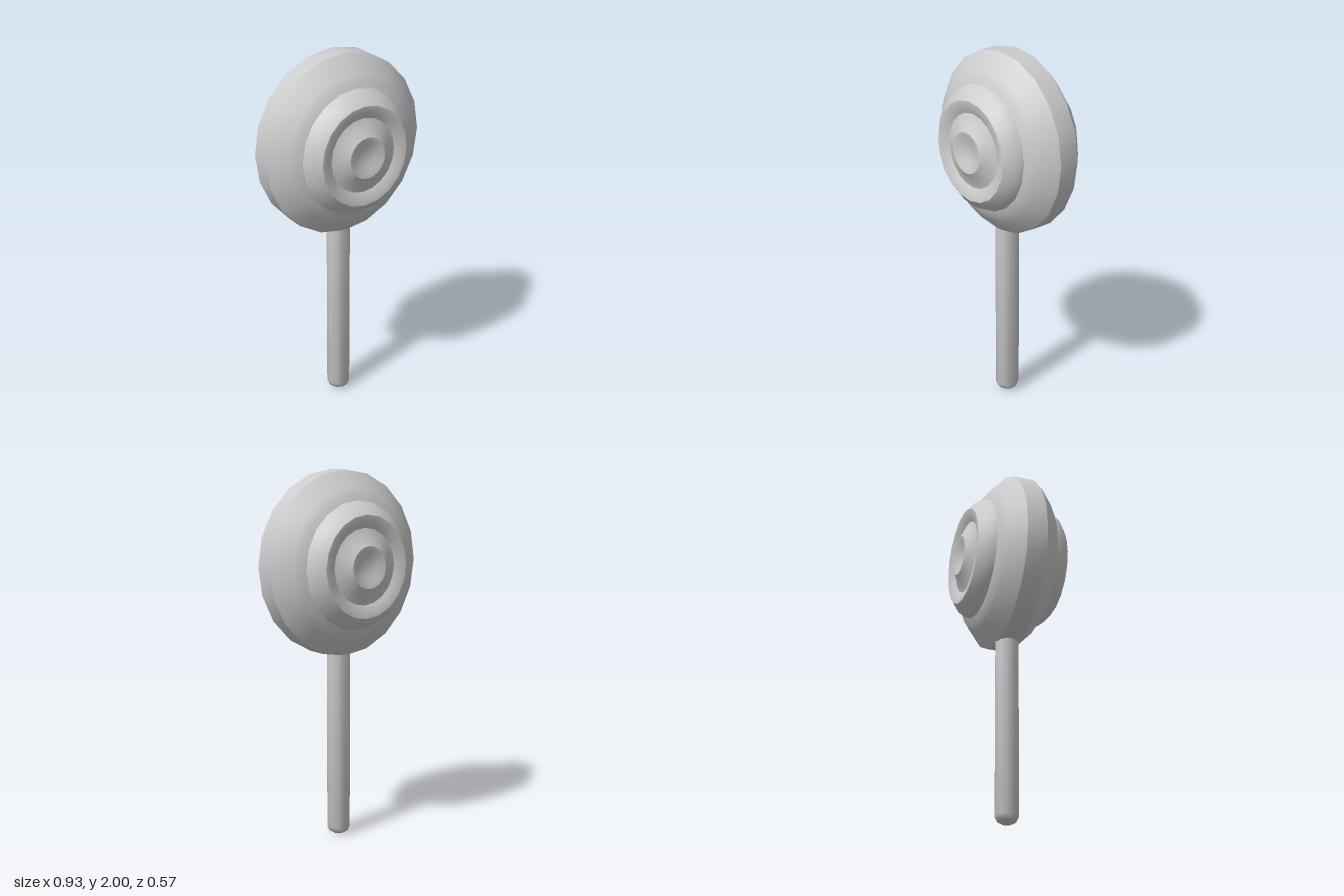
import * as THREE from 'three';
import { toCreasedNormals } from 'three/addons/utils/BufferGeometryUtils.js';

const candyGrey = new THREE.MeshStandardMaterial({ name: 'pale grey', color: 0xcccccc });

// Revolve a profile of [radius, height] pairs, keeping the strong edges sharp
function revolve(profile, sides, crease) {
  const points = profile.map(([r, h]) => new THREE.Vector2(r, h));
  return toCreasedNormals(new THREE.LatheGeometry(points, sides), crease);
}

export function createModel() {
  const model = new THREE.Group();
  model.name = 'lollipop';

  // Candy: half profile from the rim to the centre dimple, mirrored front to back
  const half = [
    [0.465, 0.057], [0.38, 0.143], [0.35, 0.162], [0.32, 0.175], [0.3, 0.22],
    [0.255, 0.26], [0.225, 0.257], [0.19, 0.238], [0.155, 0.25],
    [0.105, 0.283], [0.085, 0.28], [0.05, 0.265], [0, 0.262],
  ];
  const back = half.map(([r, z]) => [r, -z]).reverse();
  const candyGeometry = revolve([...back, ...half], 20, 0.65);
  candyGeometry.rotateX(Math.PI / 2);
  const candy = new THREE.Mesh(candyGeometry, candyGrey);
  candy.name = 'candy';
  candy.scale.y = 1.065;
  candy.position.y = 1.505;
  model.add(candy);

  // Stick with a rounded lower end, its top sunk into the candy
  const stick = new THREE.Mesh(revolve([
    [0, 0], [0.03, 0.005], [0.052, 0.018], [0.065, 0.045], [0.065, 1.1], [0, 1.1],
  ], 10, 0.9), candyGrey);
  stick.name = 'stick';
  model.add(stick);

  return model;
}
